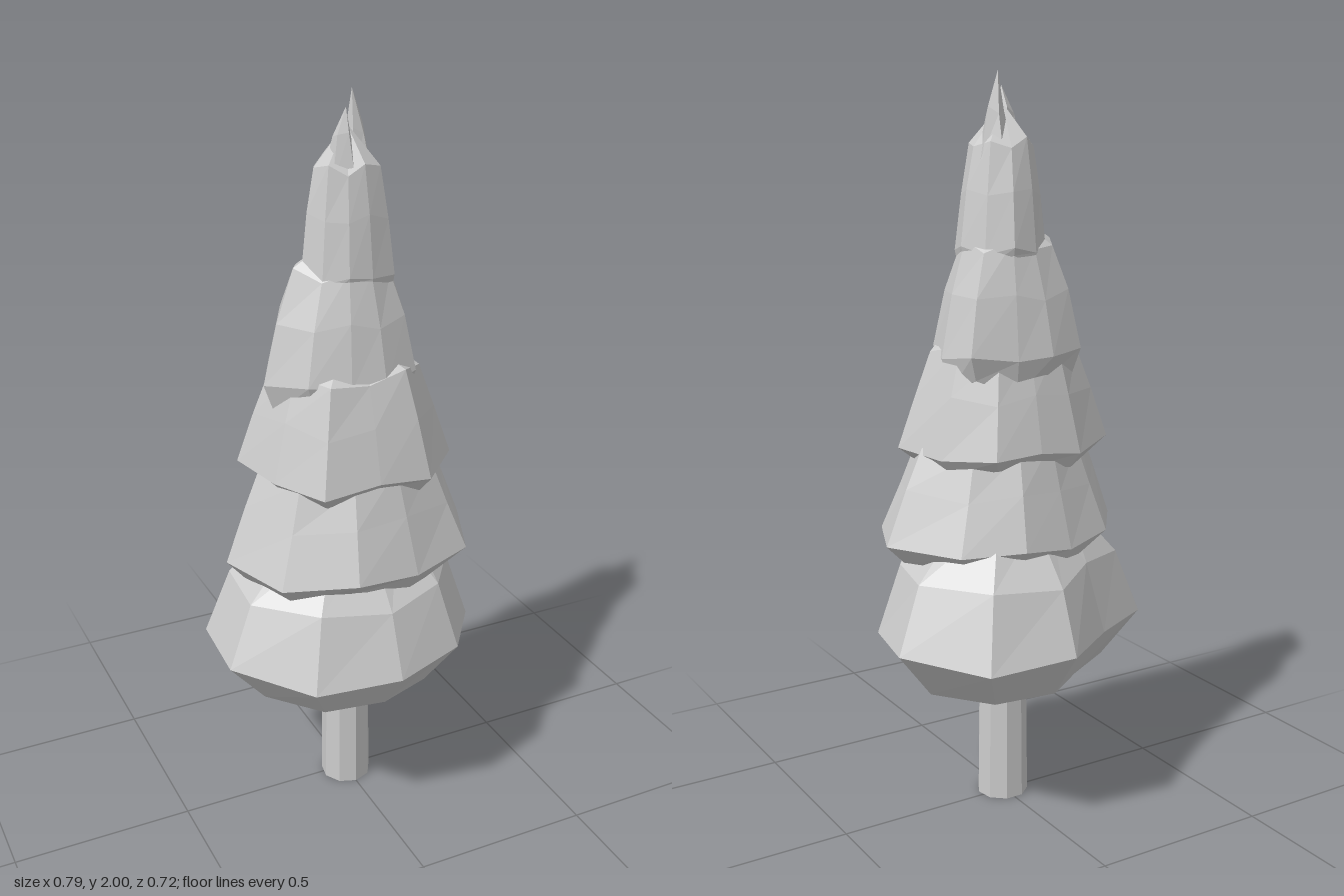
import * as THREE from 'three';

// Faceted skin through rings of points, closed by a fan at both ends
function ringSkin(rings, bottom, apex) {
  const pos = [];
  const tri = (a, b, c) => pos.push(...a, ...b, ...c);
  const n = rings[0].length, top = rings[rings.length - 1];
  for (let i = 0; i < n; i++) {
    const j = (i + 1) % n;
    tri(bottom, rings[0][i], rings[0][j]);
    for (let k = 0; k < rings.length - 1; k++) {
      const lo = rings[k], hi = rings[k + 1];
      tri(lo[i], hi[i], lo[j]);
      tri(lo[j], hi[i], hi[j]);
    }
    tri(apex, top[j], top[i]);
  }
  const geo = new THREE.BufferGeometry();
  geo.setAttribute('position', new THREE.Float32BufferAttribute(pos, 3));
  geo.computeVertexNormals();
  return geo;
}

// One ring: radii at even angles, scaled, with an uneven height
function ring(radii, phase, y, scale, wobble) {
  return radii.map((r, i) => {
    const a = phase + (i / radii.length) * Math.PI * 2;
    return [r * scale * Math.cos(a), y + wobble * Math.sin(i * 2.4 + y * 9), r * scale * Math.sin(a)];
  });
}

// Foliage skirt: tucked lip, wide hem, bulging shoulder, narrow top
function skirt({ radii, phase, hem, drop, lip, ragged, rise, top, bulge }) {
  return ringSkin([
    ring(radii, phase, hem - drop, lip, ragged),
    ring(radii, phase, hem, 1, 0.01),
    ring(radii, phase, hem + rise * 0.55, 0.45 + top * 0.55 + bulge, 0.012),
    ring(radii, phase, hem + rise, top, 0.015),
  ], [0, hem - drop, 0], [0.005, hem + rise + 0.1, 0]);
}

// Hem radii of the skirts at ten even angles, lowest skirt first
const HALF_STEP = Math.PI / 10;
const tiers = [
  { radii: [0.355, 0.355, 0.36, 0.4, 0.42, 0.395, 0.295, 0.36, 0.41, 0.415], phase: HALF_STEP,
    hem: 0.52, drop: 0.13, lip: 0.72, ragged: 0, rise: 0.33, top: 0.45, bulge: 0.12 },
  { radii: [0.36, 0.34, 0.285, 0.305, 0.338, 0.35, 0.28, 0.235, 0.255, 0.286], phase: 0,
    hem: 0.78, drop: 0.05, lip: 0.86, ragged: 0.022, rise: 0.26, top: 0.7, bulge: 0 },
  { radii: [0.29, 0.26, 0.22, 0.27, 0.25, 0.29, 0.22, 0.19, 0.225, 0.25], phase: HALF_STEP,
    hem: 1.025, drop: 0.035, lip: 0.87, ragged: 0.016, rise: 0.27, top: 0.69, bulge: 0.01 },
  { radii: [0.19, 0.19, 0.16, 0.155, 0.19, 0.23, 0.205, 0.17, 0.165, 0.215], phase: 0,
    hem: 1.28, drop: 0.075, lip: 0.87, ragged: 0.025, rise: 0.28, top: 0.62, bulge: 0.04 },
  { radii: [0.13, 0.13, 0.105, 0.105, 0.115, 0.12, 0.11, 0.11, 0.12, 0.125], phase: 0,
    hem: 1.55, drop: 0.03, lip: 0.95, ragged: 0.02, rise: 0.27, top: 0.7, bulge: 0.03 },
];

// Leaning spikes of the split tip: base centre, turn and point
const spikes = [
  { x: -0.018, z: 0.025, turn: 0, tip: [-0.01, 1.965, 0.03] },
  { x: 0.04, z: -0.02, turn: 1, tip: [0.03, 2, -0.02] },
];

export function createModel() {
  const tree = new THREE.Group();
  tree.name = 'tree';
  const grey = new THREE.MeshStandardMaterial({ color: 0xcccccc });
  grey.name = 'plain grey';
  const add = (geo, name) => {
    const mesh = new THREE.Mesh(geo, grey);
    mesh.name = name;
    tree.add(mesh);
    return mesh;
  };

  // Trunk
  const trunk = new THREE.CylinderGeometry(0.067, 0.072, 0.42, 9).toNonIndexed();
  trunk.computeVertexNormals();
  add(trunk, 'trunk').position.set(0, 0.21, 0.01);

  // Foliage
  tiers.forEach((tier, i) => add(skirt(tier), `foliageTier${i + 1}`));

  // Split tip
  const spikeRadii = Array(5).fill(0.05);
  spikes.forEach(({ x, z, turn, tip }, i) => {
    const rings = [ring(spikeRadii, turn, 1.78, 1, 0), ring(spikeRadii, turn, 1.9, 0.48, 0.01)];
    add(ringSkin(rings, [0, 1.78, 0], [tip[0] - x, tip[1], tip[2] - z]), `tipSpike${i + 1}`)
      .position.set(x, 0, z);
  });

  return tree;
}
